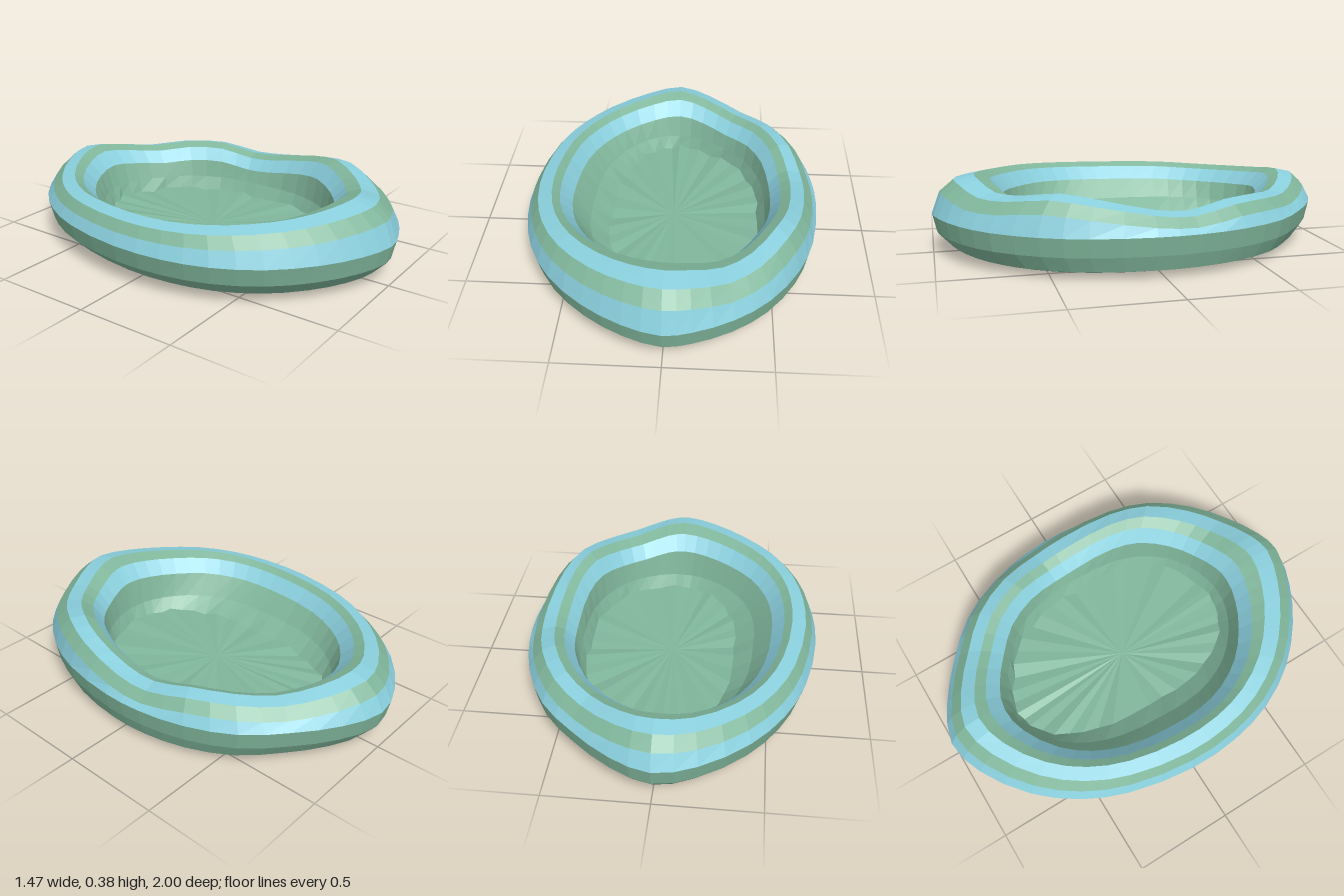
import * as THREE from 'three';

const GREEN = 0x80b69b, BLUE = 0x8acfdd;

// Outline at the widest level, with the height of the rim's crest as y,
// running front, left (+x), back, right (-x).
const outline = [
  [0, 0.385, 1], [0.13, 0.375, 0.975], [0.315, 0.34, 0.89], [0.475, 0.345, 0.76], [0.615, 0.37, 0.56],
  [0.695, 0.345, 0.35], [0.735, 0.295, 0.05], [0.725, 0.28, -0.16], [0.67, 0.315, -0.39], [0.555, 0.315, -0.615],
  [0.39, 0.3, -0.78], [0.195, 0.325, -0.925], [0, 0.348, -1], [-0.2, 0.33, -0.945], [-0.425, 0.315, -0.785],
  [-0.575, 0.312, -0.595], [-0.675, 0.318, -0.37], [-0.735, 0.322, -0.04], [-0.725, 0.328, 0.22],
  [-0.665, 0.338, 0.45], [-0.545, 0.35, 0.66], [-0.37, 0.36, 0.83], [-0.18, 0.375, 0.945],
].map(p => new THREE.Vector3(...p));
const curve = new THREE.CatmullRomCurve3(outline, true);
const SEGMENTS = outline.length * 2;

// Cross-section rings from the underside, over the crest and down to the floor.
// inset: distance inwards at [front, back, left, right]; h: share of the crest
// height, or y: fixed height; bulge: rounds out the diagonals.
const rings = [
  { inset: [0.16, 0.15, 0.14, 0.2], y: 0.007, bulge: 0 },
  { inset: [0.09, 0.08, 0.04, 0.1], y: 0.038, bulge: 0 },
  { inset: [0.02, 0.02, 0.015, 0.025], y: 0.11, bulge: 0 },
  { inset: [0, 0, 0, 0], y: 0.2, bulge: 0 },
  { inset: [0.04, 0.04, 0.025, 0.025], h: 0.8, bulge: 0 },
  { inset: [0.11, 0.1, 0.07, 0.06], h: 0.95, bulge: 0 },
  { inset: [0.21, 0.18, 0.14, 0.13], h: 1, bulge: 0.01 },
  { inset: [0.29, 0.24, 0.19, 0.17], h: 0.93, bulge: 0.02 },
  { inset: [0.355, 0.31, 0.24, 0.23], h: 0.73, bulge: 0.03 },
  { inset: [0.385, 0.345, 0.265, 0.32], y: 0.14, bulge: 0.05 },
  { inset: [0.42, 0.37, 0.3, 0.42], y: 0.075, bulge: 0.07, crumple: 0.02 },
];

function ringPoints({ inset, y, h, bulge, crumple = 0 }) {
  const [front, back, left, right] = inset;
  return Array.from({ length: SEGMENTS }, (_, i) => {
    const p = curve.getPoint(i / SEGMENTS);
    const wobble = crumple * Math.sin(i * 2.3) * Math.cos(i * 0.9);
    const swell = 1 + bulge * 2 * Math.abs(p.x / 0.74 * p.z) + wobble;
    const sx = (1 - (p.x > 0 ? left : right) / 0.74) * swell;
    const sz = (1 - (p.z > 0 ? front : back)) * swell;
    return new THREE.Vector3(p.x * sx, (y ?? h * p.y) + wobble * 0.5, p.z * sz);
  });
}

// Strip of quads between neighbouring rings, in order from underside to floor.
function loft(loops) {
  const positions = loops.flatMap(loop => loop.flatMap(p => p.toArray()));
  const index = [];
  for (let r = 0; r < loops.length - 1; r++) {
    for (let i = 0; i < SEGMENTS; i++) {
      const j = (i + 1) % SEGMENTS;
      const a = r * SEGMENTS + i, b = r * SEGMENTS + j;
      index.push(a, b, b + SEGMENTS, a, b + SEGMENTS, a + SEGMENTS);
    }
  }
  const geometry = new THREE.BufferGeometry();
  geometry.setAttribute('position', new THREE.Float32BufferAttribute(positions, 3));
  geometry.setIndex(index);
  const flat = geometry.toNonIndexed();
  flat.computeVertexNormals();
  return flat;
}

export function createModel() {
  const group = new THREE.Group();
  group.name = 'paddedBed';
  const materials = {
    green: new THREE.MeshStandardMaterial({ color: GREEN, flatShading: true }),
    blue: new THREE.MeshStandardMaterial({ color: BLUE, flatShading: true }),
  };
  const loops = rings.map(ringPoints);
  const centre = y => Array.from({ length: SEGMENTS }, () => new THREE.Vector3(0, y, 0));

  const add = (name, color, parts) => {
    const mesh = new THREE.Mesh(loft(parts), materials[color]);
    mesh.name = name;
    group.add(mesh);
  };

  // Slightly domed underside and rounded lower wall
  add('underside', 'green', [centre(0), loops[0]]);
  add('lowerWall', 'green', loops.slice(0, 4));

  // Alternating stripes over the padded rim
  const stripes = ['outerBlueStripe', 'outerGreenStripe', 'crestBlueStripe', 'innerGreenStripe', 'innerBlueStripe'];
  stripes.forEach((name, i) => add(name, i % 2 ? 'green' : 'blue', loops.slice(3 + i, 5 + i)));

  // Inner wall and sunken floor
  add('innerWall', 'green', loops.slice(8, 11));
  add('floor', 'green', [loops[10], centre(0.07)]);
  return group;
}
